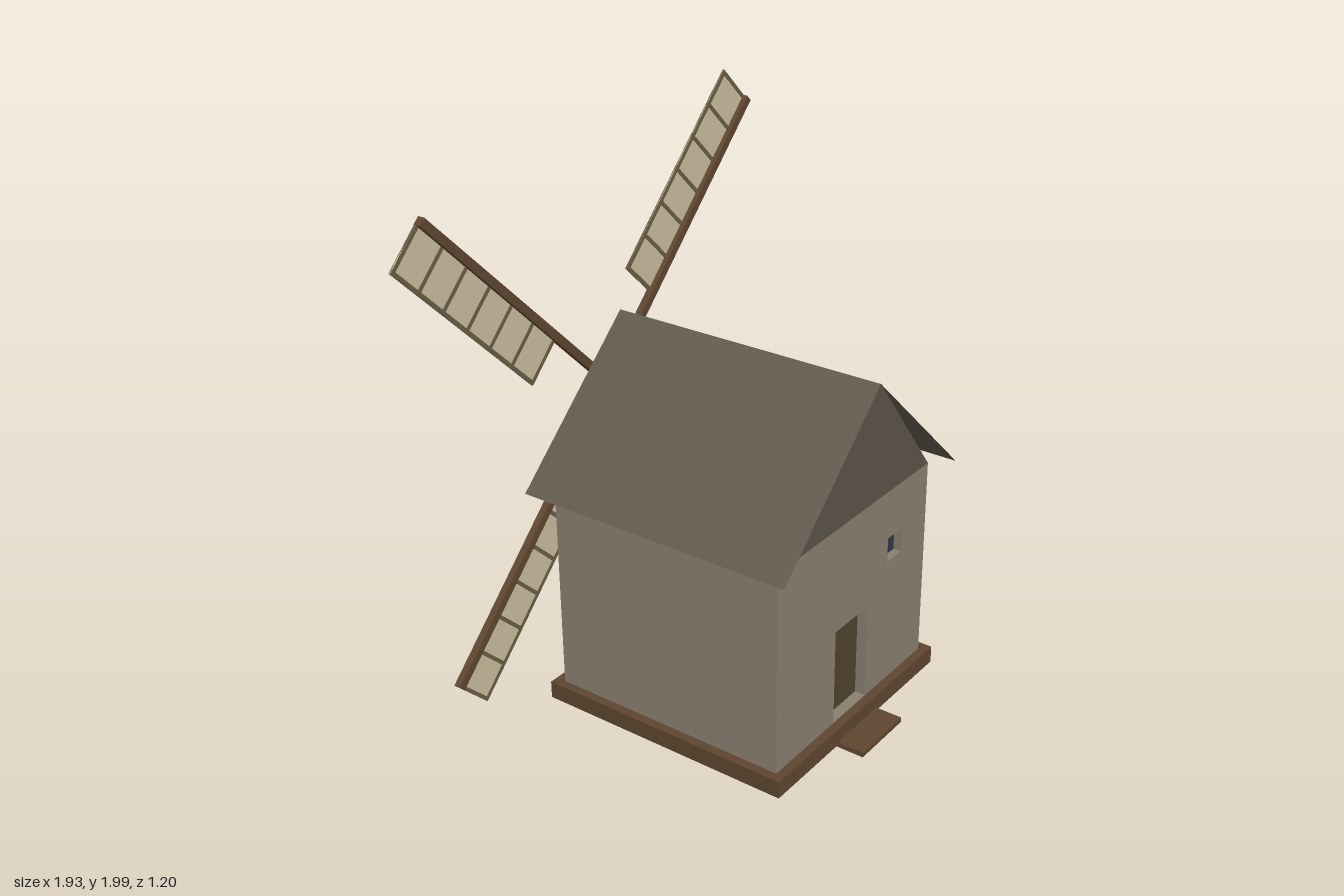
import * as THREE from 'three';

const mat = (color, side = THREE.FrontSide) =>
  new THREE.MeshStandardMaterial({ color, side, flatShading: true });
const M = {
  wall: mat(0x8a7f70),
  roof: mat(0x625a4d, THREE.DoubleSide),
  wood: mat(0x5e4630),
  door: mat(0x50412f),
  glass: mat(0x30384a),
  cloth: mat(0xcabd9f),
  lath: mat(0x6a5c42),
};

function add(parent, name, geometry, material, x = 0, y = 0, z = 0) {
  const mesh = new THREE.Mesh(geometry, material);
  mesh.name = name;
  mesh.position.set(x, y, z);
  parent.add(mesh);
  return mesh;
}
const box = (parent, name, material, w, h, d, x, y, z) =>
  add(parent, name, new THREE.BoxGeometry(w, h, d), material, x, y, z);

// Rectangle path from its edges
function rect(Type, x0, y0, x1, y1) {
  const p = new Type();
  p.moveTo(x0, y0);
  p.lineTo(x1, y0);
  p.lineTo(x1, y1);
  p.lineTo(x0, y1);
  p.closePath();
  return p;
}

// Flat triangles or quads given as corner lists, counter-clockwise from outside
function faces(list) {
  const pos = [];
  for (const f of list)
    for (let i = 1; i < f.length - 1; i++) pos.push(...f[0], ...f[i], ...f[i + 1]);
  const g = new THREE.BufferGeometry();
  g.setAttribute('position', new THREE.Float32BufferAttribute(pos, 3));
  g.computeVertexNormals();
  return g;
}

const WALL = 0.455, EAVE = 0.83, RIDGE = 1.32, OVER = 0.525, THICK = 0.05;

// Wall facing local +z at distance WALL, turned about y, with rectangular openings
function addWall(parent, name, halfWidth, angle, openings = []) {
  const shape = rect(THREE.Shape, -halfWidth, 0.06, halfWidth, EAVE);
  for (const o of openings) shape.holes.push(rect(THREE.Path, ...o));
  const g = new THREE.ExtrudeGeometry(shape, { depth: THICK, bevelEnabled: false });
  g.translate(0, 0, WALL - THICK);
  add(parent, name, g, M.wall).rotation.y = angle;
}

function buildHouse() {
  const house = new THREE.Group();
  house.name = 'house';
  house.position.z = 0.008;

  // Base frame with a slightly raised floor
  const ring = rect(THREE.Shape, -0.49, -0.49, 0.49, 0.49);
  ring.holes.push(rect(THREE.Path, -0.46, -0.46, 0.46, 0.46));
  const frame = new THREE.ExtrudeGeometry(ring, { depth: 0.065, bevelEnabled: false });
  frame.rotateX(-Math.PI / 2);
  add(house, 'baseFrame', frame, M.wood, 0, 0.005, 0);
  box(house, 'floor', M.wood, 0.92, 0.05, 0.92, 0, 0.043, 0);
  box(house, 'doorStep', M.wood, 0.25, 0.018, 0.13, -0.013, 0.009, 0.527);

  // Walls, with a door and window in front and a small niche on the +x side
  const side = WALL - THICK;
  addWall(house, 'frontWall', WALL, 0, [
    [-0.113, 0.07, 0.088, 0.435],
    [0.205, 0.553, 0.295, 0.645],
  ]);
  addWall(house, 'leftWall', side, Math.PI / 2, [[0, 0.345, 0.088, 0.44]]);
  addWall(house, 'backWall', WALL, Math.PI);
  addWall(house, 'rightWall', side, -Math.PI / 2);
  box(house, 'door', M.door, 0.22, 0.38, 0.02, -0.013, 0.25, WALL - 0.05);
  box(house, 'frontWindowPane', M.glass, 0.1, 0.1, 0.02, 0.25, 0.6, WALL - 0.04);
  box(house, 'sideWindowBack', M.wall, 0.02, 0.11, 0.1, WALL - 0.05, 0.392, -0.044);

  // Thin overhanging roof slopes
  const slope = (s) => [
    [0, RIDGE, s * OVER], [s * OVER, EAVE, s * OVER],
    [s * OVER, EAVE, -s * OVER], [0, RIDGE, -s * OVER],
  ];
  add(house, 'roof', faces([slope(1), slope(-1)]), M.roof);

  // Gables lean out from the wall tops to the ridge ends
  const gable = (s) => [
    [-s * WALL, EAVE, s * WALL], [s * WALL, EAVE, s * WALL], [0, RIDGE, s * OVER],
  ];
  add(house, 'gables', faces([gable(1), gable(-1)]), M.roof);
  return house;
}

// One arm along local +x with a six-cell sail on its +y side
function buildSail() {
  const sail = new THREE.Group();
  sail.name = 'sail';
  const inner = 0.36, outer = 1.18, top = 0.182, bar = 0.014, cells = 6;
  const mid = (inner + outer) / 2, len = outer - inner, zs = -0.007;
  box(sail, 'arm', M.wood, outer, 0.03, 0.026, outer / 2, 0, 0);
  box(sail, 'cloth', M.cloth, len, top, 0.004, mid, top / 2, zs);
  box(sail, 'outerRail', M.lath, len, bar, 0.009, mid, top - bar / 2, zs);
  for (let i = 0; i <= cells; i++) {
    const x = inner + bar / 2 + ((len - bar) * i) / cells;
    box(sail, 'crossBar', M.lath, bar, top, 0.009, x, top / 2, zs);
  }
  return sail;
}

export function createModel() {
  const model = new THREE.Group();
  model.name = 'windmill';
  model.add(buildHouse());

  // Axle and four sails behind the rear gable
  const axle = new THREE.CylinderGeometry(0.03, 0.03, 0.14, 12);
  axle.rotateX(Math.PI / 2);
  add(model, 'axle', axle, M.wood, 0, 1.03, -0.505);
  const rotor = new THREE.Group();
  rotor.name = 'rotor';
  rotor.position.set(0, 1.03, -0.583);
  for (let i = 0; i < 4; i++) {
    const sail = buildSail();
    sail.rotation.z = Math.PI / 4 + (i * Math.PI) / 2;
    rotor.add(sail);
  }
  model.add(rotor);
  return model;
}
